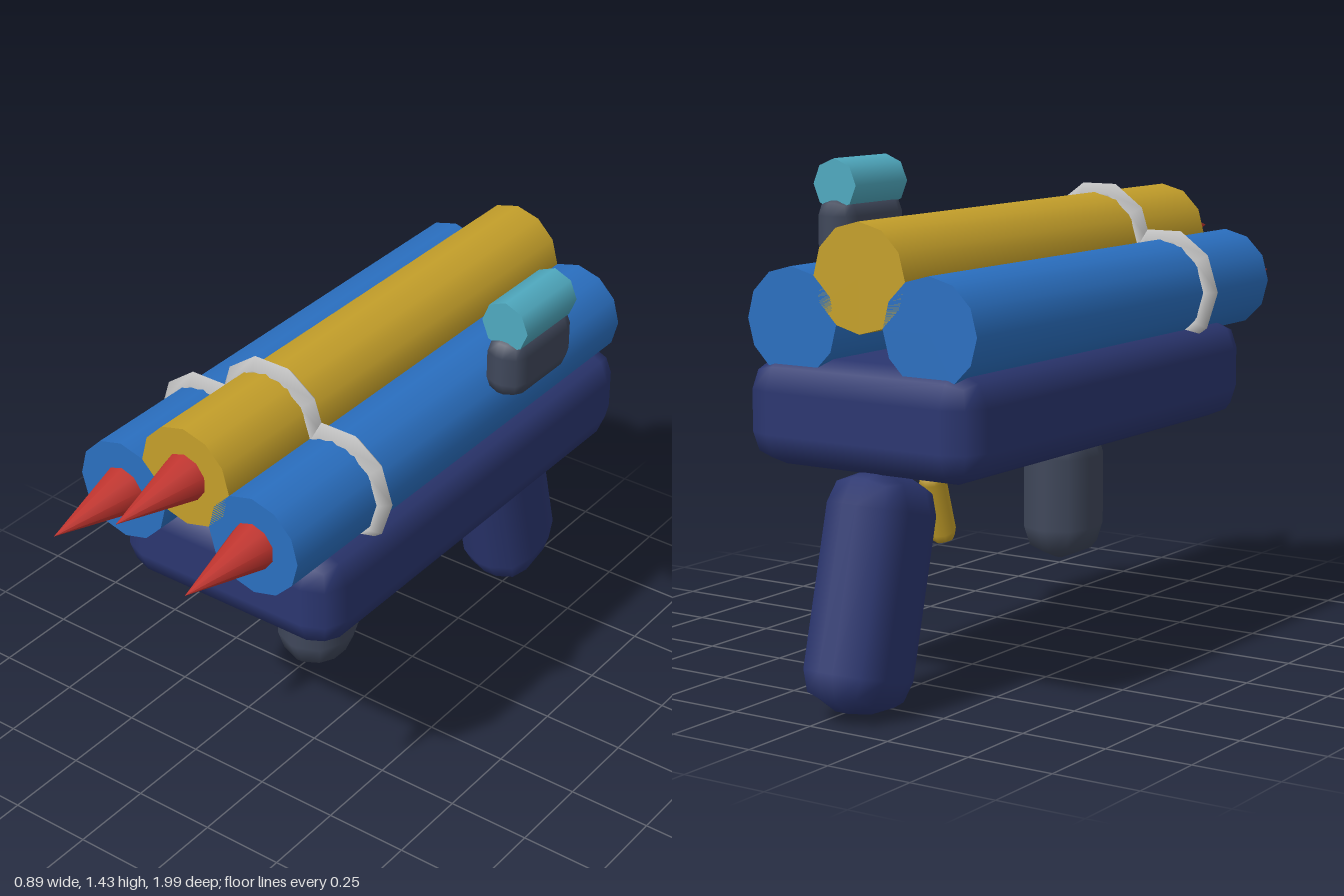
import * as THREE from 'three';
import { RoundedBoxGeometry } from 'three/addons/geometries/RoundedBoxGeometry.js';

const mat = (color) => new THREE.MeshStandardMaterial({ color });

export function createModel() {
  const group = new THREE.Group();
  const navy = mat(0x2b3670), slate = mat(0x3f475a), blue = mat(0x2a6fc0);
  const gold = mat(0xc49f2a), red = mat(0xc0342e), teal = mat(0x4fa9bf), grey = mat(0xcccccc);
  const midX = -0.046;

  const add = (name, geometry, material, x, y, z, tilt = 0) => {
    const mesh = new THREE.Mesh(geometry, material);
    mesh.name = name;
    mesh.position.set(x, y, z);
    mesh.rotation.x = tilt;
    group.add(mesh);
    return mesh;
  };
  const block = (w, h, d, r) => new RoundedBoxGeometry(w, h, d, 1, r);

  // Body and grips
  add('body', block(0.74, 0.295, 1.48, 0.09), navy, midX, 0.797, -0.135);
  add('rearHandle', block(0.245, 0.643, 0.3, 0.1), navy, midX, 0.333, -0.793, 0.25);
  add('frontGrip', block(0.21, 0.4, 0.245, 0.095), slate, midX, 0.455, 0.162);
  add('trigger', block(0.075, 0.222, 0.075, 0.035), gold, midX, 0.512, -0.483, -0.3);

  // Three launch tubes, each with a clamp ring and a pointed dart
  const tubes = [
    ['right', -0.222, 1.042, blue],
    ['center', 0, 1.17, gold],
    ['left', 0.222, 1.042, blue],
  ];
  for (const [side, dx, y, material] of tubes) {
    const x = midX + dx;
    add(side + 'Tube', new THREE.CylinderGeometry(0.147, 0.147, 1.555, 12), material, x, y, -0.053, Math.PI / 2);
    add(side + 'Ring', new THREE.TorusGeometry(0.15, 0.03, 4, 10), grey, x, y, 0.355);
    add(side + 'Dart', new THREE.ConeGeometry(0.07, 0.28, 10), red, x, y, 0.86, Math.PI / 2);
  }

  // Sight floating beside the tubes
  add('sightMount', block(0.125, 0.185, 0.3, 0.052), slate, 0.373, 1.238, -0.26);
  add('sightLens', new THREE.CylinderGeometry(0.074, 0.074, 0.245, 8), teal, 0.373, 1.366, -0.258, Math.PI / 2);

  return group;
}
